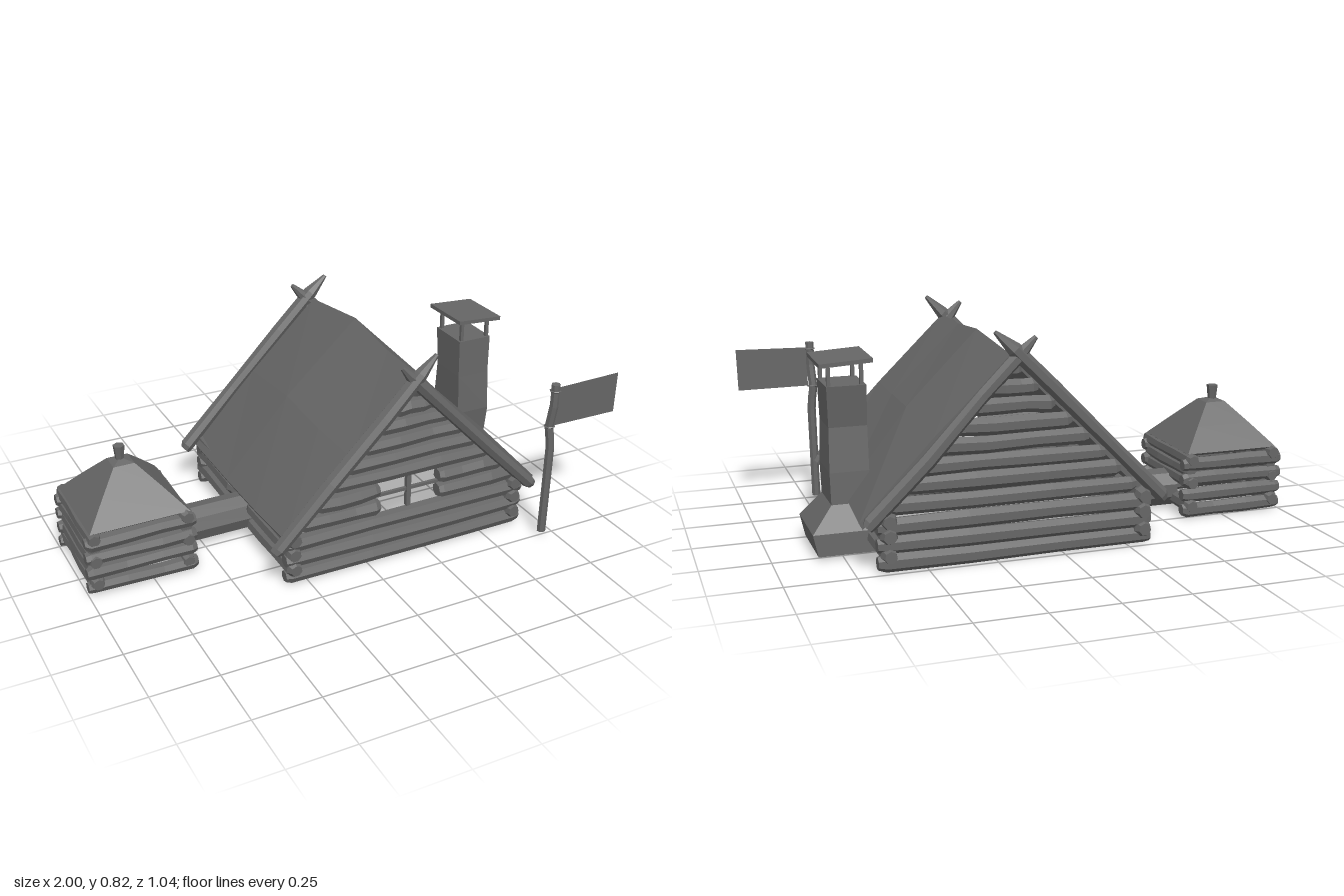
import * as THREE from 'three';

let seed = 7;
const rand = () => { // seeded, -1..1
  seed = (seed * 16807) % 2147483647;
  return (seed / 2147483647) * 2 - 1;
};
const V = (x, y, z) => new THREE.Vector3(x, y, z);

export function createModel() {
  const model = new THREE.Group();
  model.name = 'logCabin';
  const grey = new THREE.MeshStandardMaterial({ color: 0x666666, flatShading: true, side: THREE.DoubleSide });
  grey.name = 'charcoalGrey';

  const group = (name) => {
    const g = new THREE.Group();
    g.name = name;
    model.add(g);
    return g;
  };
  const mesh = (parent, name, geo) => {
    const m = new THREE.Mesh(geo, grey);
    m.name = name;
    parent.add(m);
    return m;
  };
  const box = (parent, name, w, h, d, x, y, z) => {
    const m = mesh(parent, name, new THREE.BoxGeometry(w, h, d));
    m.position.set(x, y, z);
    return m;
  };

  // Rough-hewn log from a to b: slightly wavy, with chamfered or pointed ends
  function log(parent, name, a, b, r, wave = 0.003, tip = 0.75, tipAt = 0.03) {
    const len = a.distanceTo(b);
    const geo = new THREE.CylinderGeometry(r, r, len, 7, 5);
    const t = [0, Math.min(0.02 / len, 0.2), 0.35, 0.68, 1 - Math.max(tipAt, Math.min(0.02 / len, 0.2)), 1];
    const rings = t.map((_, i) => ({
      s: (i === 0 ? 0.75 : i === 5 ? tip : 1) * (1 + rand() * 0.07),
      dx: rand() * wave, dz: rand() * wave,
    }));
    const p = geo.attributes.position;
    for (let i = 0; i < p.count; i++) {
      const k = Math.round((p.getY(i) / len + 0.5) * 5);
      const { s, dx, dz } = rings[k];
      p.setXYZ(i, p.getX(i) * s + dx, (t[k] - 0.5) * len, p.getZ(i) * s + dz);
    }
    const m = mesh(parent, name, geo);
    m.position.copy(a).add(b).multiplyScalar(0.5);
    m.quaternion.setFromUnitVectors(V(0, 1, 0), b.clone().sub(a).normalize());
    return m;
  }

  // Skin through equal-sized closed rings, with both ends capped
  function loft(rings) {
    const n = rings[0].length, idx = [];
    for (let i = 0; i < rings.length - 1; i++) {
      for (let j = 0; j < n; j++) {
        const a = i * n + j, b = i * n + (j + 1) % n;
        idx.push(a, b, b + n, a, b + n, a + n);
      }
    }
    for (const o of [0, (rings.length - 1) * n]) {
      for (let j = 0; j < n / 2 - 1; j++) {
        const a = o + j, b = a + 1, c = o + n - 2 - j, d = o + n - 1 - j;
        idx.push(a, c, b, a, d, c);
      }
    }
    const geo = new THREE.BufferGeometry();
    geo.setAttribute('position', new THREE.Float32BufferAttribute(rings.flat(2), 3));
    geo.setIndex(idx);
    geo.computeVertexNormals();
    return geo;
  }

  // Cabin walls: x-logs at front and back, z-logs on the sides
  const walls = group('cabinWalls');
  for (const [z, front] of [[0.36, true], [-0.47, false]]) {
    [0.035, 0.1, 0.166].forEach((y) => log(walls, 'wallLog', V(-0.335, y, z), V(0.675, y, z), 0.032));
    for (let i = 0; i < 8; i++) {
      const y = 0.234 + i * 0.064;
      const x0 = 0.19 - (0.71 - y) * 0.98, x1 = 0.19 + (0.71 - y) * 0.94;
      if (front && i < 2) { // window gap
        log(walls, 'gableLog', V(x0, y, z), V(0.05, y, z), 0.033);
        log(walls, 'gableLog', V(0.3, y, z), V(x1, y, z), 0.033);
      } else log(walls, 'gableLog', V(x0, y, z), V(x1, y, z), 0.031);
    }
  }
  [0.066, 0.134, 0.19].forEach((y, i) => {
    log(walls, 'sideLog', V(0.635, y, 0.4), V(0.635, y, -0.51), 0.031);
    if (i < 2) { // doorway to the passage
      log(walls, 'sideLog', V(-0.305, y, 0.4), V(-0.305, y, 0.01), 0.031);
      log(walls, 'sideLog', V(-0.305, y, -0.15), V(-0.305, y, -0.51), 0.031);
    } else log(walls, 'sideLog', V(-0.305, y, 0.4), V(-0.305, y, -0.51), 0.031);
  });

  // Window bars
  const win = group('windowBars');
  box(win, 'uprightBar', 0.018, 0.14, 0.018, 0.175, 0.272, 0.36);
  box(win, 'crossBar', 0.26, 0.012, 0.012, 0.175, 0.275, 0.36);

  // Sagging roof: [z, ridge x, ridge y, left eave x, right eave x, eave y, bulge]
  const roofRings = [
    [0.405, 0.187, 0.745, -0.35, 0.71, 0.215, 0.005],
    [0.15, 0.195, 0.745, -0.355, 0.705, 0.205, 0.012],
    [-0.13, 0.208, 0.768, -0.352, 0.715, 0.195, 0.016],
    [-0.475, 0.193, 0.73, -0.345, 0.735, 0.185, 0.006],
  ].map(([z, rx, ry, lx, ex, ey, b]) => {
    const top = [[lx, ey], [(lx + rx) / 2 - b, (ey + ry) / 2 + b], [rx, ry],
      [(ex + rx) / 2 + b, (ey + ry) / 2 + b], [ex, ey]];
    const under = top.map(([x, y], i) => [x + (2 - i) * 0.006, y - 0.022]).reverse();
    return [...top, ...under].map(([x, y]) => [x, y, z]);
  });
  mesh(model, 'cabinRoof', loft(roofRings));

  // Crossed bargeboard logs with pointed tips
  const barge = group('bargeLogs');
  for (const z of [0.4, -0.487]) {
    log(barge, 'bargeLogLeft', V(-0.39, 0.17, z), V(0.255, 0.815, z), 0.027, 0.004, 0.3, 0.1);
    log(barge, 'bargeLogRight', V(0.71, 0.172, z - 0.004), V(0.11, 0.79, z - 0.004), 0.027, 0.004, 0.3, 0.1);
  }

  // Chimney: [y, x0, x1, z0, z1]
  const chimney = group('chimney');
  mesh(chimney, 'chimneyStack', loft([
    [0.015, 0.63, 0.84, -0.28, -0.015],
    [0.095, 0.625, 0.857, -0.276, -0.005],
    [0.185, 0.64, 0.78, -0.23, -0.05],
    [0.3, 0.64, 0.782, -0.225, -0.036],
    [0.46, 0.64, 0.778, -0.21, -0.046],
    [0.61, 0.643, 0.785, -0.23, -0.055],
  ].map(([y, x0, x1, z0, z1]) => [[x0, y, z0], [x1, y, z0], [x1, y, z1], [x0, y, z1]])));
  for (const x of [0.658, 0.775]) {
    for (const z of [-0.068, -0.217]) box(chimney, 'capPost', 0.013, 0.09, 0.013, x, 0.648, z);
  }
  const cap = box(chimney, 'chimneyCap', 0.19, 0.015, 0.225, 0.718, 0.696, -0.143);
  cap.rotation.set(-0.02, 0, -0.06);

  // Passage between cabin and shed
  const passage = mesh(model, 'passage', new THREE.CylinderGeometry(0.074, 0.074, 0.33, 9, 1, true));
  passage.rotation.z = Math.PI / 2;
  passage.position.set(-0.45, 0.08, -0.07);

  // Shed walls
  const shed = group('shed');
  for (let i = 0; i < 4; i++) {
    for (const s of [-1, 1]) {
      const y = 0.033 + i * 0.06, z = -0.068 + s * 0.177;
      log(shed, 'shedLog', V(-0.998, y, z), V(-0.578, y, z), 0.028);
      if (i === 3) continue;
      const x = -0.788 + s * 0.175, yz = 0.05 + i * 0.092;
      log(shed, 'shedSideLog', V(x, yz, 0.138), V(x, yz, -0.274), 0.028);
    }
  }
  for (const s of [-1, 1]) { // infill between the main side logs
    for (const y of [0.096, 0.186]) {
      if (s === 1 && y < 0.15) continue;
      log(shed, 'shedInfillLog', V(-0.788 + s * 0.175, y, 0.12), V(-0.788 + s * 0.175, y, -0.256), 0.027);
    }
  }

  // Shed pyramid roof with finial
  const profile = [[0.175, 0.245], [0.19, 0.256], [0.112, 0.342], [0.04, 0.418], [0, 0.432]];
  const shedRoof = mesh(shed, 'shedRoof', new THREE.LatheGeometry(
    profile.map(([w, y]) => new THREE.Vector2(w * Math.SQRT2, y)), 4, Math.PI / 4));
  shedRoof.position.set(-0.788, 0, -0.065);
  const finial = mesh(shed, 'shedFinial', new THREE.CylinderGeometry(0.022, 0.015, 0.065, 6));
  finial.position.set(-0.79, 0.448, -0.068);

  // Bent flagpole, ties and flag
  const flag = group('flagpole');
  const bends = [V(0.705, 0.015, 0.492), V(0.712, 0.4, 0.492), V(0.702, 0.46, 0.487), V(0.71, 0.56, 0.498), V(0.71, 0.645, 0.498)];
  const path = new THREE.CurvePath();
  for (let i = 0; i < 4; i++) path.add(new THREE.LineCurve3(bends[i], bends[i + 1]));
  mesh(flag, 'pole', new THREE.TubeGeometry(path, 14, 0.017, 7));
  const poleTop = mesh(flag, 'poleTop', new THREE.CircleGeometry(0.017, 7));
  poleTop.rotation.x = -Math.PI / 2;
  poleTop.position.copy(bends[4]);
  for (const [x, y, z] of [[0.71, 0.619, 0.498], [0.704, 0.47, 0.488]]) {
    const tie = mesh(flag, 'flagTie', new THREE.TorusGeometry(0.019, 0.003, 4, 8));
    tie.rotation.x = Math.PI / 2;
    tie.position.set(x, y, z);
  }
  const cloth = new THREE.Shape([[0.722, 0.47], [0.996, 0.468], [1, 0.63], [0.724, 0.625]]
    .map(([x, y]) => new THREE.Vector2(x, y)));
  mesh(flag, 'flag', new THREE.ShapeGeometry(cloth)).position.z = 0.493;

  return model;
}
